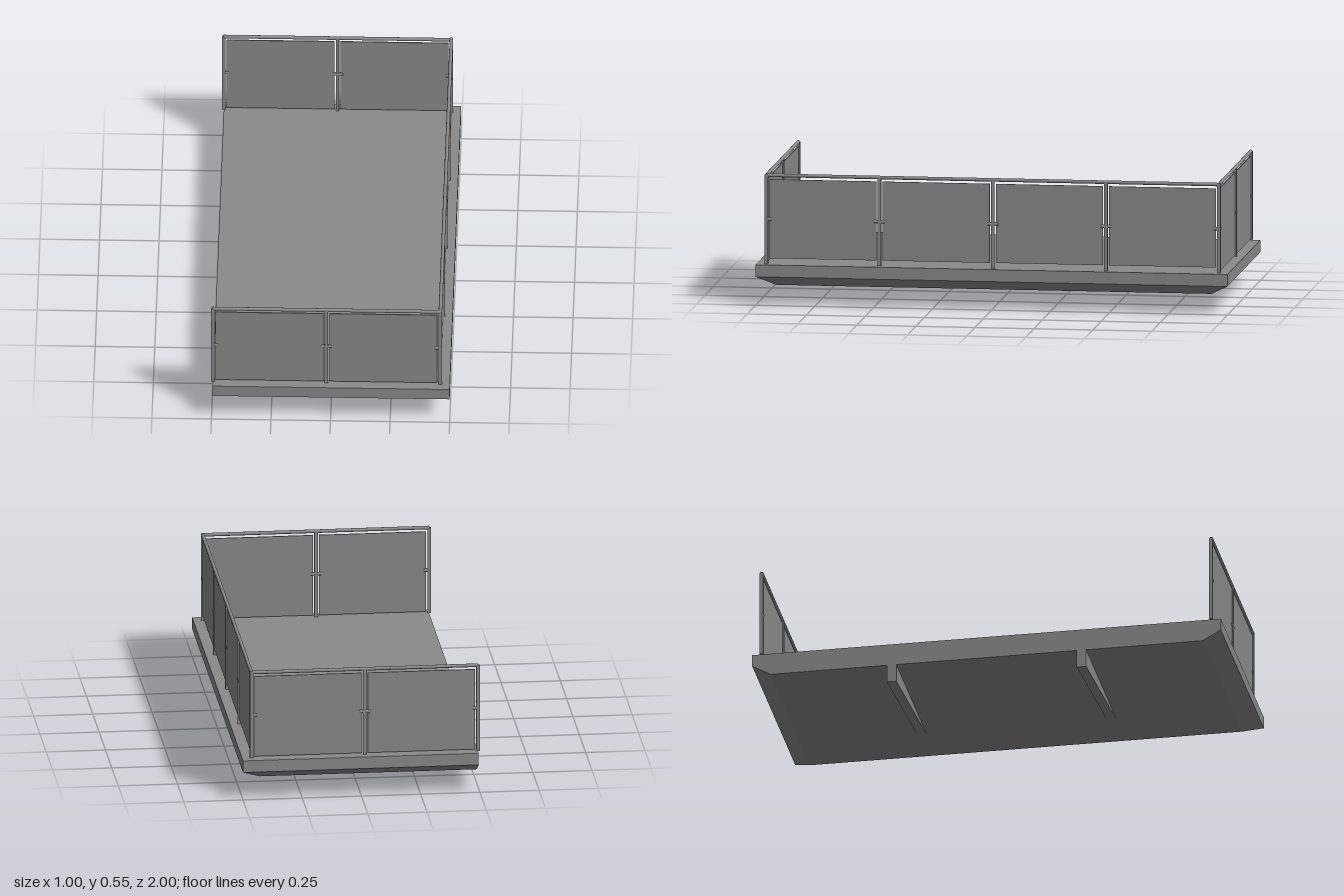
import * as THREE from 'three';

const material = new THREE.MeshStandardMaterial({ color: 0x8a8a8a });

function add(parent, name, geometry, x = 0, y = 0, z = 0) {
  const mesh = new THREE.Mesh(geometry, material);
  mesh.name = name;
  mesh.position.set(x, y, z);
  parent.add(mesh);
  return mesh;
}

const FLOOR = 0.172, RAIL_Y = 0.547, CLIP_Y = 0.36;
const POST = 0.0145, GLASS = 0.005, GAP = 0.013;

// Floor slab: straight upper edge, lower edge bevelled on the three free sides
function slabGeometry() {
  const g = new THREE.BoxGeometry(0.995, 2, 2, 1, 2, 1);
  const p = g.attributes.position;
  for (let i = 0; i < p.count; i++) {
    const level = Math.round(p.getY(i)); // 1 top, 0 bevel start, -1 underside
    p.setY(i, level === 1 ? FLOOR : level === 0 ? 0.121 : 0.077);
    if (level === -1) {
      if (p.getX(i) > 0) p.setX(i, p.getX(i) - 0.077);
      p.setZ(i, Math.sign(p.getZ(i)) * 0.922);
    }
  }
  const flat = g.toNonIndexed();
  flat.computeVertexNormals();
  return flat;
}

// Round bar along local x
function bar(parent, name, radius, from, to, y) {
  const geometry = new THREE.CylinderGeometry(radius, radius, to - from, 16);
  add(parent, name, geometry, (from + to) / 2, y, 0).rotation.z = Math.PI / 2;
}

// One straight railing run along local x, with posts at the given positions
function railing(name, posts, panelBottom) {
  const run = new THREE.Group();
  run.name = name;
  const end = posts.length - 1;
  bar(run, 'handrail', 0.0075, posts[0], posts[end] + POST / 2, RAIL_Y);

  posts.forEach((x, i) => {
    add(run, 'post', new THREE.BoxGeometry(POST, RAIL_Y - FLOOR, POST), x, (RAIL_Y + FLOOR) / 2, 0);
    // Clips reach from the post to each neighbouring panel
    bar(run, 'panelClip', 0.0075, i === 0 ? x : x - 0.022, i === end ? x : x + 0.022, CLIP_Y);
    // Infill panel up to the next post
    if (i < end) {
      const next = posts[i + 1];
      add(run, 'panel', new THREE.BoxGeometry(next - x - 2 * GAP, 0.53 - panelBottom, GLASS),
        (x + next) / 2, (0.53 + panelBottom) / 2, 0);
    }
  });
  return run;
}

export function createModel() {
  const model = new THREE.Group();
  model.name = 'balcony';

  add(model, 'floorSlab', slabGeometry(), 0.0025, 0, 0);

  // Tapered support brackets under the wall side
  const profile = new THREE.Shape([
    new THREE.Vector2(-0.495, 0), new THREE.Vector2(0.22, 0.078), new THREE.Vector2(-0.495, 0.078),
  ]);
  const bracket = new THREE.ExtrudeGeometry(profile, { depth: 0.04, bevelEnabled: false });
  bracket.translate(0, 0, -0.02);
  for (const z of [-0.405, 0.405]) add(model, 'supportBracket', bracket, 0, 0, z);

  // Two end railings and the long outer railing
  for (const side of [-1, 1]) {
    const end = railing('endRailing', [-0.496, -0.018, 0.46], 0.178);
    end.position.z = side * 0.959;
    model.add(end);
  }
  const outer = railing('outerRailing', [-0.959, -0.48, 0, 0.48, 0.959], 0.195);
  outer.rotation.y = Math.PI / 2;
  outer.position.x = 0.46;
  model.add(outer);

  return model;
}
